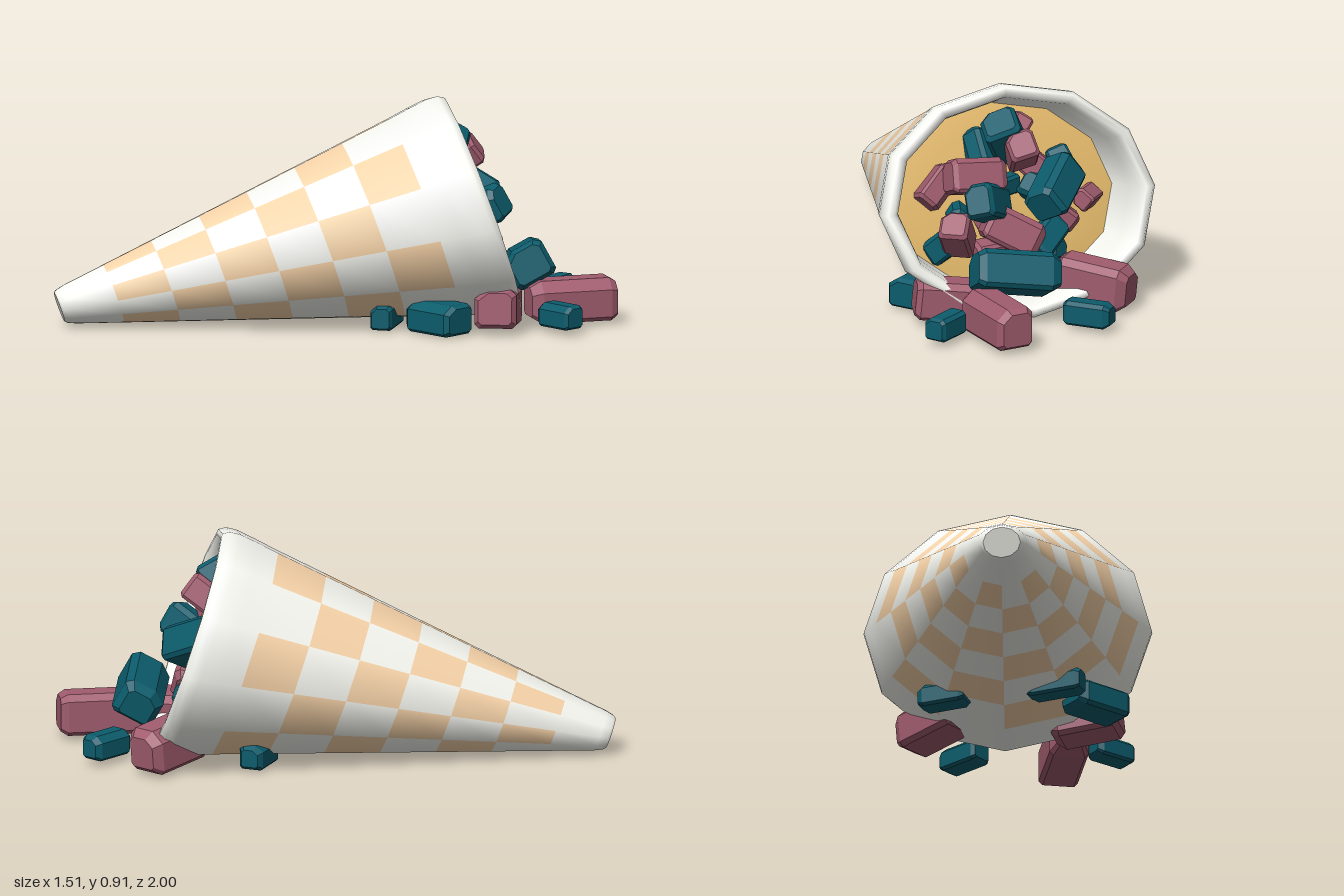
import * as THREE from 'three';
import { ConvexGeometry } from 'three/addons/geometries/ConvexGeometry.js';

const SIDES = 12;
const TIP = new THREE.Vector3(-0.685, 0.08, 0.955);
const MOUTH = new THREE.Vector3(0.158, 0.46, -0.51);
const ACROSS = new THREE.Vector3(0.505, 0, 0.29); // sideways radius of the mouth
const UP = new THREE.Vector3(-0.065, 0.45, 0.14); // upward radius of the mouth

const material = (color, extra = {}) => new THREE.MeshStandardMaterial({ color, ...extra });

// point in the lying cone: t runs from tip to mouth, r is a fraction of the mouth radius
function conePoint(t, r, angle) {
  return TIP.clone().lerp(MOUTH, t)
    .addScaledVector(ACROSS, r * Math.sin(angle))
    .addScaledVector(UP, r * Math.cos(angle));
}

// rings lofted into a smooth surface; pick(row, column) tells which faces are coloured
function loft(profile, pick) {
  const positions = [], plain = [], coloured = [];
  for (const [t, r] of profile)
    for (let j = 0; j < SIDES; j++)
      positions.push(...conePoint(t, r, (j / SIDES) * Math.PI * 2).toArray());
  for (let i = 0; i < profile.length - 1; i++) {
    // repeated rings only separate the normals
    if (profile[i][0] === profile[i + 1][0] && profile[i][1] === profile[i + 1][1]) continue;
    for (let j = 0; j < SIDES; j++) {
      const k = (j + 1) % SIDES;
      const a = i * SIDES + j, b = i * SIDES + k, c = b + SIDES, d = a + SIDES;
      (pick(i, j) ? coloured : plain).push(a, b, c, a, c, d);
    }
  }
  const base = new THREE.BufferGeometry();
  base.setAttribute('position', new THREE.Float32BufferAttribute(positions, 3));
  base.setIndex([...plain, ...coloured]);
  base.computeVertexNormals();
  return [plain, coloured].map((index) => base.clone().setIndex(index));
}

// long crystal block with chamfered edges and bevelled ends, unit size
function crystalGeometry() {
  const outline = [[-0.5, -0.4], [-0.4, -0.5], [0.4, -0.5], [0.5, -0.4],
    [0.5, 0.25], [0.2, 0.5], [-0.35, 0.5], [-0.5, 0.35]];
  const points = [];
  for (const [x, s] of [[-0.5, 0.7], [-0.38, 1], [0.42, 1], [0.5, 0.8]])
    for (const [z, y] of outline) points.push(new THREE.Vector3(x, y * s, z * s));
  return new ConvexGeometry(points);
}

export function createModel() {
  const group = new THREE.Group();
  const add = (name, geometry, mat) => {
    const mesh = new THREE.Mesh(geometry, mat);
    mesh.name = name;
    group.add(mesh);
    return mesh;
  };

  // cone: end cap, chequered straight wall, rounded lip, inner wall
  const ROWS = 6, FIRST = 5;
  const profile = [[0, 0], [0, 0.13], [0, 0.13], [0.006, 0.152], [0.025, 0.176]];
  for (let i = 0; i <= ROWS; i++) {
    const t = 0.13 + i * 0.1245;
    profile.push([t, 0.155 + 0.86 * t]);
  }
  profile.push([0.93, 0.96], [0.975, 0.998], [1, 1], [1.016, 0.97], [1.016, 0.925],
    [1, 0.885], [0.96, 0.85], [0.9, 0.81], [0.86, 0.78]);
  const isCheck = (i, j) => i >= FIRST && i < FIRST + ROWS && (i - FIRST + j) % 2 === 0;
  const [shell, checks] = loft(profile, isCheck);
  add('coneShell', shell, material(0xf9f9f3, { side: THREE.DoubleSide }));
  add('coneChecks', checks, material(0xfad6ab, { side: THREE.DoubleSide }));

  // golden filling inside the mouth
  const [filling] = loft([[0.885, 0.81], [0.895, 0.6], [0.9, 0]], () => false);
  add('filling', filling, material(0xe2b86a, { side: THREE.DoubleSide }));

  // crystals
  const gem = crystalGeometry();
  const teal = material(0x0c5c6c, { flatShading: true });
  const rose = material(0xa05c6e, { flatShading: true });
  const crystal = (name, mat, [x, y, z], [l, h, w], [yaw, pitch = 0, roll = 0]) => {
    const mesh = add(name, gem, mat);
    mesh.position.set(x, y, z);
    mesh.scale.set(l, h, w);
    mesh.rotation.set(roll, yaw, pitch, 'YZX');
  };

  // spilled on the ground around the mouth
  const spilled = [
    [teal, [0.17, 0.075, -0.9], [0.2, 0.1, 0.1], [-1.25]],
    [rose, [0.53, 0.105, -0.715], [0.36, 0.17, 0.16], [1.22]],
    [teal, [0.66, 0.075, -0.56], [0.18, 0.095, 0.1], [0.12]],
    [teal, [0.33, 0.23, -0.645], [0.35, 0.16, 0.18], [-0.6, 0.15, 0.5]],
    [rose, [-0.055, 0.115, -0.74], [0.31, 0.18, 0.17], [-1.25, 0.1]],
    [teal, [0.14, 0.057, -0.08], [0.23, 0.1, 0.09], [-0.9]],
    [teal, [0.37, 0.07, -0.165], [0.25, 0.125, 0.16], [0.15]],
    [rose, [0.46, 0.1, -0.4], [0.28, 0.16, 0.17], [-0.75, 0.1]],
    [teal, [-0.2, 0.06, -0.4], [0.2, 0.1, 0.1], [-0.9]],
  ];
  spilled.forEach((s) => crystal('spilledCrystal', ...s));

  // large ones at the front of the heap
  const heap = [
    [teal, [0.01, 0.5, -0.57], [0.27, 0.15, 0.16], [0.35, -0.4, 0.5]],
    [teal, [0.1, 0.69, -0.39], [0.22, 0.14, 0.15], [0.3, 0.9, 0.6]],
    [rose, [0.24, 0.55, -0.35], [0.24, 0.14, 0.13], [-0.45, 0.1, 0.4]],
    [rose, [0.1, 0.65, -0.47], [0.19, 0.12, 0.12], [0.8, 0.6, 0.3]],
    [teal, [0.26, 0.46, -0.44], [0.27, 0.14, 0.12], [0.35, 0.4, 0.3]],
    [rose, [0.17, 0.33, -0.49], [0.24, 0.15, 0.14], [-0.8, 0.5, 0.3]],
    [rose, [0.36, 0.33, -0.36], [0.2, 0.12, 0.12], [0.5, 0.8, 0]],
    [teal, [0.04, 0.28, -0.55], [0.2, 0.11, 0.11], [0.2, -0.4, 0.7]],
  ];
  heap.forEach((h) => crystal('heapCrystal', ...h));

  // smaller ones spread over the filling
  for (let i = 0; i < 16; i++) {
    const p = conePoint(0.91, 0.6 * Math.sqrt((i + 0.5) / 16), i * 2.4);
    const size = 0.13 + 0.025 * (i % 3);
    crystal('heapCrystal', i % 2 ? rose : teal, p.toArray(),
      [size, size * 0.6, size * 0.6], [i * 1.7, Math.sin(i * 2.1) * 0.8, i * 0.9]);
  }
  return group;
}
